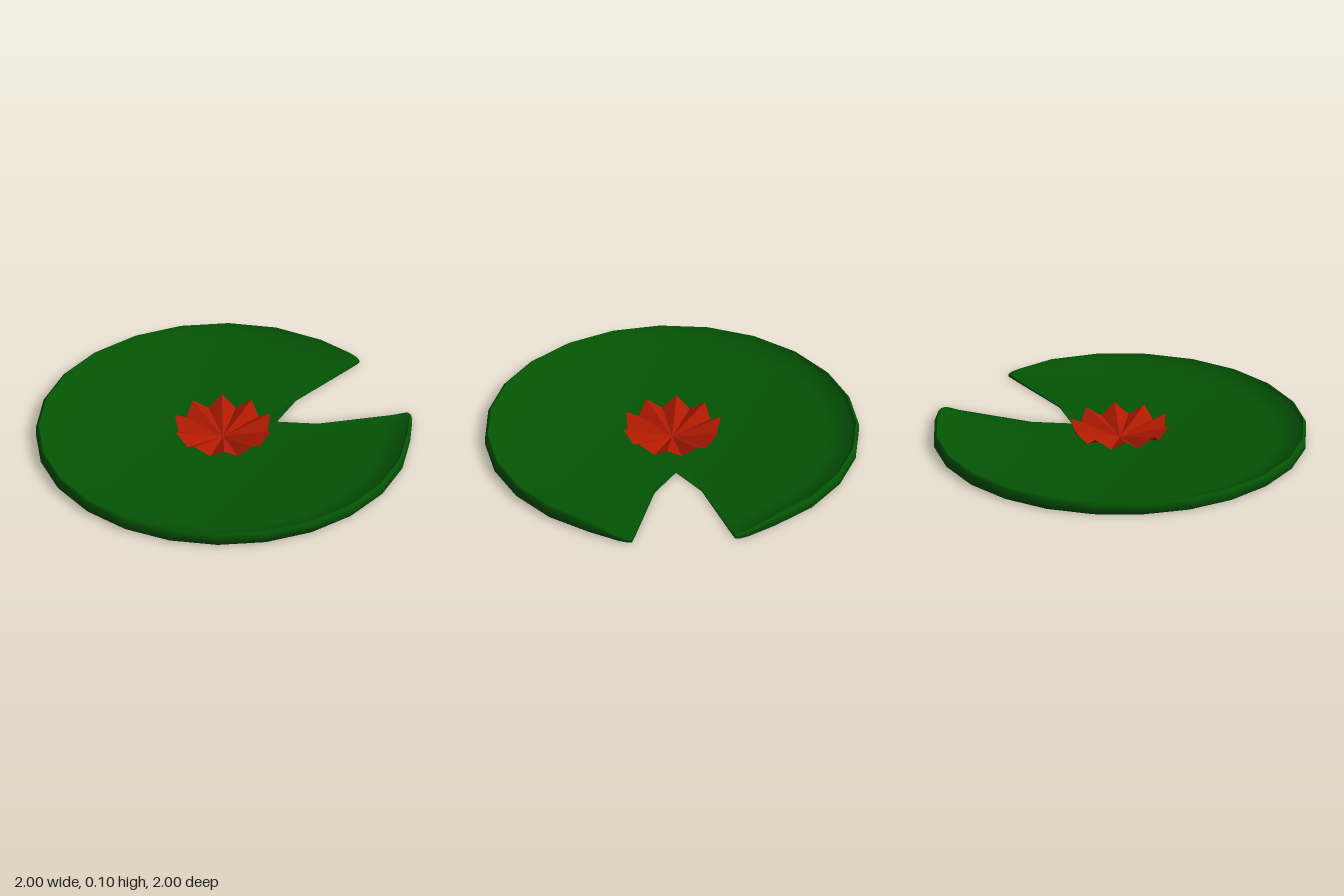
import * as THREE from 'three';
import { toCreasedNormals } from 'three/addons/utils/BufferGeometryUtils.js';

const leafGreen = new THREE.MeshStandardMaterial({ color: 0x045404, side: THREE.DoubleSide });
const petalRed = new THREE.MeshStandardMaterial({ color: 0xb01a02, side: THREE.DoubleSide });

function buildGeometry(positions, index) {
  const geometry = new THREE.BufferGeometry();
  geometry.setAttribute('position', new THREE.Float32BufferAttribute(positions, 3));
  geometry.setIndex(index);
  geometry.computeVertexNormals();
  return geometry;
}

// Outline of the leaf, counter-clockwise from above: [x, z, rise of the rim]
function leafOutline() {
  const outline = [];
  for (let k = 5; k <= 25; k++) {
    const a = (k * Math.PI) / 12;
    outline.push([Math.cos(a), -Math.sin(a), k === 5 || k === 25 ? 0.93 : 1]);
  }
  // One side of the notch, where the rim sinks; mirrored across the diagonal
  const side = [
    [0.925, -0.43, 0.5], [0.905, -0.475, 0.38], [0.885, -0.494, 0.3],
    [0.82, -0.462, 0.18], [0.45, -0.272, 0.1],
  ];
  const mirrored = side.map(([x, z, rise]) => [-z, -x, rise]).reverse();
  return [...outline, ...side, [0.23, -0.23, 0.05], ...mirrored];
}

// Thin shallow dish with an upturned lip and a skirt down to the water
function createPad() {
  const outline = leafOutline();
  // [scale, height] from the dish outwards, over the lip and down
  const profile = [
    [0.85, 0.012], [0.965, 0.038], [0.985, 0.065], [1, 0.052], [1, 0.008], [0.993, 0],
  ];
  const n = outline.length;
  const positions = [];
  const index = [];
  for (const [s, y] of profile) {
    for (const [x, z, rise] of outline) positions.push(x * s, y * rise, z * s);
  }
  const centre = profile.length * n;
  positions.push(0, 0.01, 0);
  for (let i = 0; i < n; i++) {
    const next = (i + 1) % n;
    index.push(centre, i, next);
    for (let j = 0; j < profile.length - 1; j++) {
      const a = j * n + i, b = a + n, d = j * n + next, c = d + n;
      index.push(a, b, c, a, c, d);
    }
  }
  const mesh = new THREE.Mesh(toCreasedNormals(buildGeometry(positions, index), 0.95), leafGreen);
  mesh.name = 'lilyPad';
  return mesh;
}

// Ten folded petals: raised tips alternating with low valleys
function createFlower() {
  const petals = 10;
  const positions = [0, 0.014, 0];
  const index = [];
  for (let i = 0; i < petals * 2; i++) {
    const a = (i * Math.PI) / petals;
    const tip = i % 2 === 0;
    const r = tip ? 0.268 : 0.238;
    positions.push(r * Math.cos(a), tip ? 0.1 : 0.044, -r * Math.sin(a));
    index.push(0, i + 1, ((i + 1) % (petals * 2)) + 1);
  }
  const geometry = buildGeometry(positions, index).toNonIndexed();
  geometry.computeVertexNormals();
  const mesh = new THREE.Mesh(geometry, petalRed);
  mesh.name = 'flower';
  return mesh;
}

export function createModel() {
  const group = new THREE.Group();
  group.name = 'waterLily';
  group.add(createPad(), createFlower());
  return group;
}
